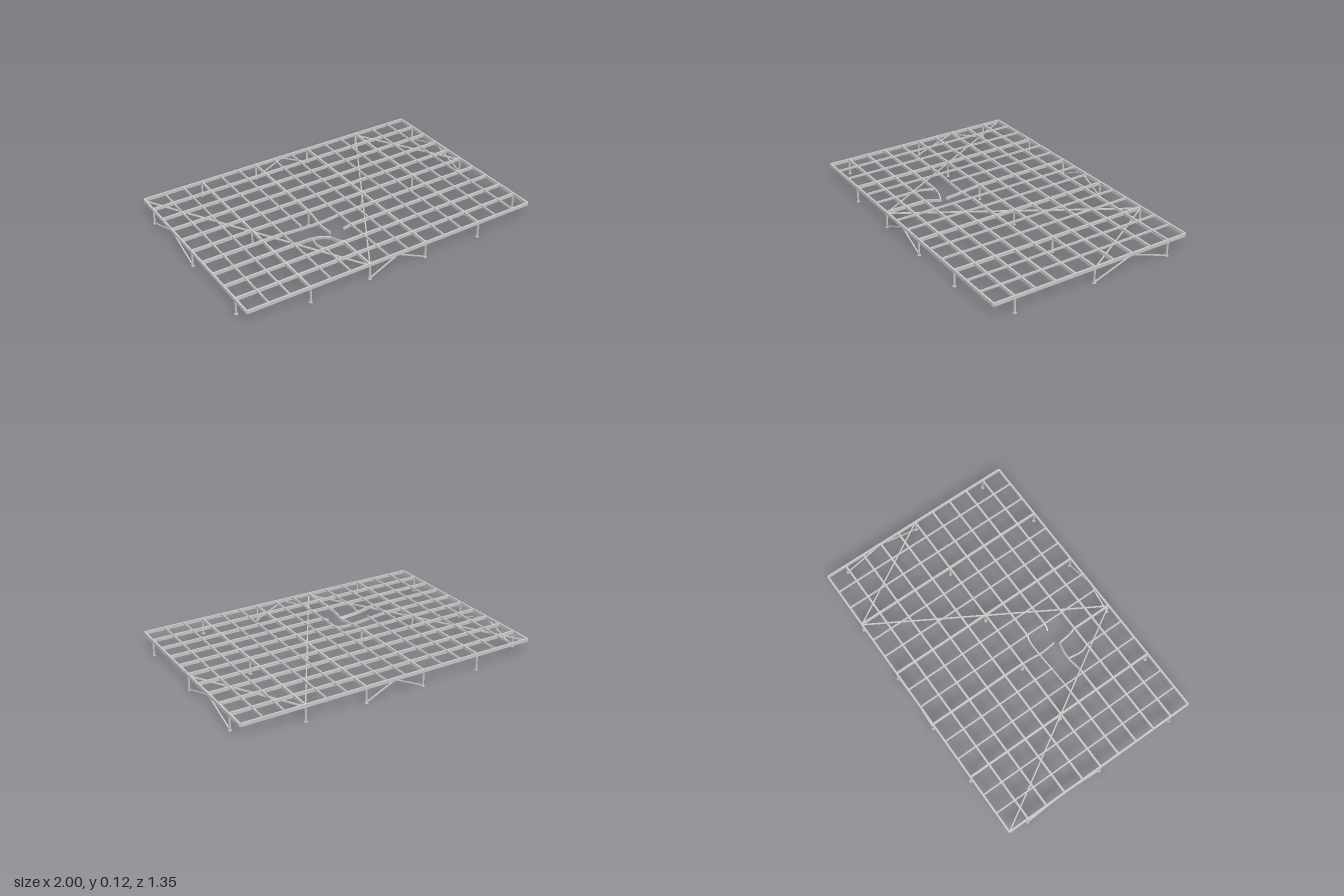
import * as THREE from 'three';

const mat = new THREE.MeshStandardMaterial({ color: 0xcccccc, flatShading: true });
const EX = 0.993, EZ = 0.667;      // outer grid lines
const STEP_X = (2 * EX) / 15, STEP_Z = (2 * EZ) / 10;
const gx = i => -EX + i * STEP_X;
const gz = j => -EZ + j * STEP_Z;
const V = (x, y, z) => new THREE.Vector3(x, y, z);

export function createModel() {
  const model = new THREE.Group();

  const group = name => {
    const g = new THREE.Group();
    g.name = name;
    model.add(g);
    return g;
  };

  // Straight bar of rectangular section between two points
  function bar(parent, name, a, b, w, h) {
    const mesh = new THREE.Mesh(new THREE.BoxGeometry(w, h, a.distanceTo(b)), mat);
    mesh.name = name;
    mesh.position.copy(a).add(b).multiplyScalar(0.5);
    mesh.lookAt(b);
    parent.add(mesh);
  }

  // Buckled bar: a box whose cross-sections follow a curve
  function bentBar(parent, name, points, w, h, lean = 0) {
    const curve = new THREE.CatmullRomCurve3(points);
    const geo = new THREE.BoxGeometry(w, h, 1, 1, 1, 14);
    const pos = geo.attributes.position;
    for (let i = 0; i < pos.count; i++) {
      const t = pos.getZ(i) + 0.5;
      const dir = curve.getTangent(t);
      const side = V(0, 1, 0).cross(dir).normalize().applyAxisAngle(dir, lean * t);
      const up = dir.clone().cross(side);
      const p = curve.getPoint(t)
        .addScaledVector(side, pos.getX(i))
        .addScaledVector(up, pos.getY(i));
      pos.setXYZ(i, p.x, p.y, p.z);
    }
    geo.computeVertexNormals();
    const mesh = new THREE.Mesh(geo, mat);
    mesh.name = name;
    parent.add(mesh);
  }

  // Long beams running along x
  const long = group('longBeams');
  const longY = 0.103, W = 0.011, H = 0.021;
  for (let j = 0; j <= 10; j++) {
    const z = gz(j);
    const spans = j === 6 ? [[-EX, gx(4)], [gx(7), EX]]
      : j === 7 ? [[-EX, -0.44], [gx(7), EX]]
      : [[-EX, EX]];
    for (const [x0, x1] of spans)
      bar(long, 'longBeam', V(x0, longY, z), V(x1, longY, z), W, H);
  }

  // Cross beams on the column lines, and lighter joists between them
  const cross = group('crossBeams');
  const joists = group('joists');
  for (let i = 0; i <= 15; i++) {
    const x = gx(i), main = i % 3 === 0;
    const spans = i === 6 ? [[-EZ, 0], [gz(8), EZ]]
      : i === 5 ? [[-EZ, gz(6)], [gz(8), EZ]]
      : [[-EZ, EZ]];
    for (const [z0, z1] of spans) {
      if (main) bar(cross, 'crossBeam', V(x, 0.102, z0), V(x, 0.102, z1), W, H);
      else bar(joists, 'joist', V(x, 0.111, z0), V(x, 0.111, z1), 0.008, 0.013);
    }
  }

  // Posts with base plates
  const posts = group('posts');
  function post(x, z) {
    bar(posts, 'post', V(x, 0.003, z), V(x, 0.095, z), 0.009, 0.009);
    const plate = new THREE.Mesh(new THREE.BoxGeometry(0.018, 0.005, 0.018), mat);
    plate.name = 'basePlate';
    plate.position.set(x, 0.0025, z);
    posts.add(plate);
  }
  for (const i of [3, 6, 9, 12]) for (const z of [-EZ, 0, EZ]) post(gx(i), z);
  for (const x of [-EX, EX]) for (const j of [1, 5, 9]) post(x, gz(j));

  // Side braces rising from the post feet to the edge beams
  const braces = group('sideBraces');
  for (const z of [-EZ, EZ]) for (const s of [-1, 1])
    bar(braces, 'sideBrace', V(s * 0.2, 0.006, z), V(s * 0.008, 0.095, z), 0.007, 0.007);
  for (const x of [-EX, EX]) {
    bar(braces, 'sideBrace', V(x, 0.006, 0), V(x, 0.093, -0.25), 0.007, 0.007);
    bar(braces, 'sideBrace', V(x, 0.006, gz(1)), V(x, 0.093, -0.284), 0.007, 0.007);
  }

  // Zigzag brace lying under the deck
  const zigzag = group('deckBraces');
  const nodes = [[-EX, -EZ], [gx(6), EZ], [gx(12), -EZ], [EX, 0]];
  for (let k = 0; k < 3; k++) {
    const [a, b] = [nodes[k], nodes[k + 1]];
    bar(zigzag, 'deckBrace', V(a[0], 0.097, a[1]), V(b[0], 0.097, b[1]), 0.008, 0.008);
  }

  // Buckled and torn members around the hole
  const torn = group('buckledBeams');
  bentBar(torn, 'buckledLongBeam', [
    V(gx(4), 0.103, gz(6)), V(-0.33, 0.092, 0.13), V(-0.2, 0.084, 0.125),
    V(-0.1, 0.09, 0.125), V(gx(7), 0.103, gz(6))], 0.008, 0.018);
  bentBar(torn, 'tornLongBeam', [
    V(-0.44, 0.103, gz(7)), V(-0.33, 0.09, 0.255), V(-0.26, 0.08, 0.262),
    V(-0.21, 0.067, 0.277)], 0.008, 0.02, 0.3);
  bentBar(torn, 'tornLongBeamStub', [
    V(gx(7), 0.103, gz(7)), V(-0.09, 0.095, 0.264), V(-0.11, 0.087, 0.257)], 0.008, 0.018);
  bentBar(torn, 'tornCrossBeam', [
    V(gx(6), 0.102, 0), V(-0.202, 0.093, 0.08), V(-0.206, 0.083, 0.14),
    V(-0.196, 0.079, 0.247)], 0.008, 0.018);
  bentBar(torn, 'tornCrossBeam', [
    V(gx(6), 0.102, gz(8)), V(-0.209, 0.09, 0.355), V(-0.213, 0.067, 0.28)], 0.008, 0.02);
  bentBar(torn, 'tornJoist', [
    V(gx(5), 0.108, gz(8)), V(-0.346, 0.1, 0.35), V(-0.333, 0.09, 0.257)], 0.008, 0.014);

  return model;
}
